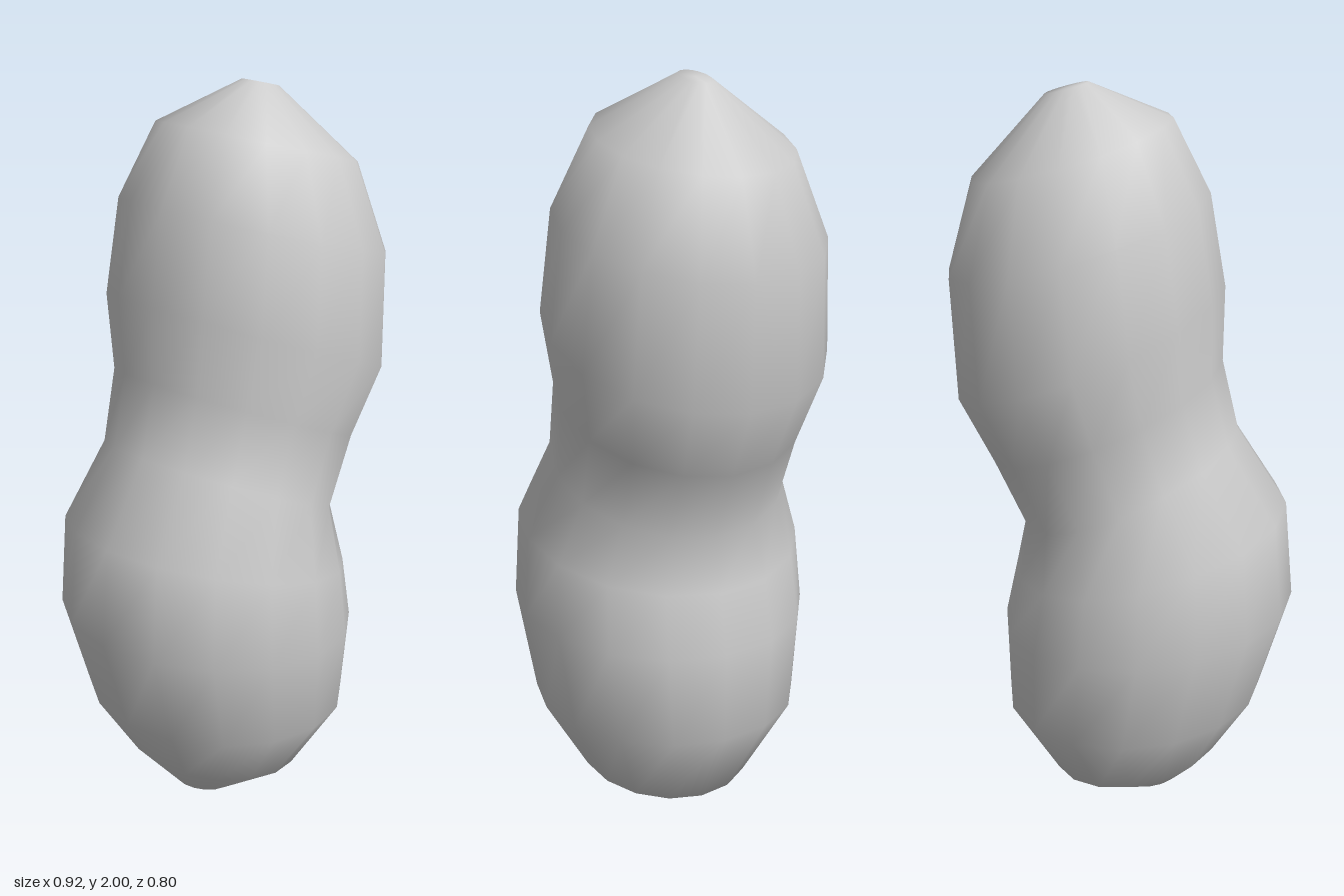
import * as THREE from 'three';

// Tilted elliptical rings, bottom to top: [right x, right y, left x, left y, half depth]
const RINGS = [
  [-0.16, 0.03, 0.0, 0.0, 0.08],
  [-0.27, 0.16, 0.2, 0.07, 0.235],
  [-0.38, 0.34, 0.33, 0.29, 0.36],
  [-0.46, 0.62, 0.335, 0.53, 0.398],
  [-0.435, 0.89, 0.3, 0.69, 0.385],
  [-0.3, 1.1, 0.27, 0.835, 0.32],
  [-0.255, 1.29, 0.355, 1.02, 0.33],
  [-0.257, 1.49, 0.445, 1.2, 0.377],
  [-0.215, 1.73, 0.458, 1.52, 0.355],
  [-0.12, 1.915, 0.39, 1.76, 0.26],
  [0.09, 2.0, 0.2, 1.97, 0.04],
];
const SIDES = 16;

// Smooth closed skin over the rings, with a pole at each end
function loftRings(rings, sides) {
  const positions = [];
  const index = [];
  for (const [x0, y0, x1, y1, depth] of rings) {
    for (let i = 0; i < sides; i++) {
      const a = (i / sides) * Math.PI * 2;
      const t = (1 + Math.cos(a)) / 2;
      positions.push(x0 + (x1 - x0) * t, y0 + (y1 - y0) * t, Math.sin(a) * depth);
    }
  }
  const bottom = rings.length * sides;
  const top = bottom + 1;
  for (const [x0, y0, x1, y1] of [rings[0], rings[rings.length - 1]]) {
    positions.push((x0 + x1) / 2, (y0 + y1) / 2, 0);
  }

  const last = (rings.length - 1) * sides;
  for (let i = 0; i < sides; i++) {
    const j = (i + 1) % sides;
    for (let r = 0; r < last; r += sides) {
      const a = r + i, b = r + j, c = a + sides, d = b + sides;
      index.push(a, c, b, b, c, d);
    }
    index.push(bottom, i, j);
    index.push(top, last + j, last + i);
  }

  const geometry = new THREE.BufferGeometry();
  geometry.setAttribute('position', new THREE.Float32BufferAttribute(positions, 3));
  geometry.setIndex(index);
  geometry.computeVertexNormals();
  return geometry;
}

export function createModel() {
  const model = new THREE.Group();
  model.name = 'peanut';

  // Two-lobed shell leaning across its waist
  const shell = new THREE.Mesh(
    loftRings(RINGS, SIDES),
    new THREE.MeshStandardMaterial({ color: 0xcccccc })
  );
  shell.name = 'peanutShell';
  model.add(shell);
  return model;
}
